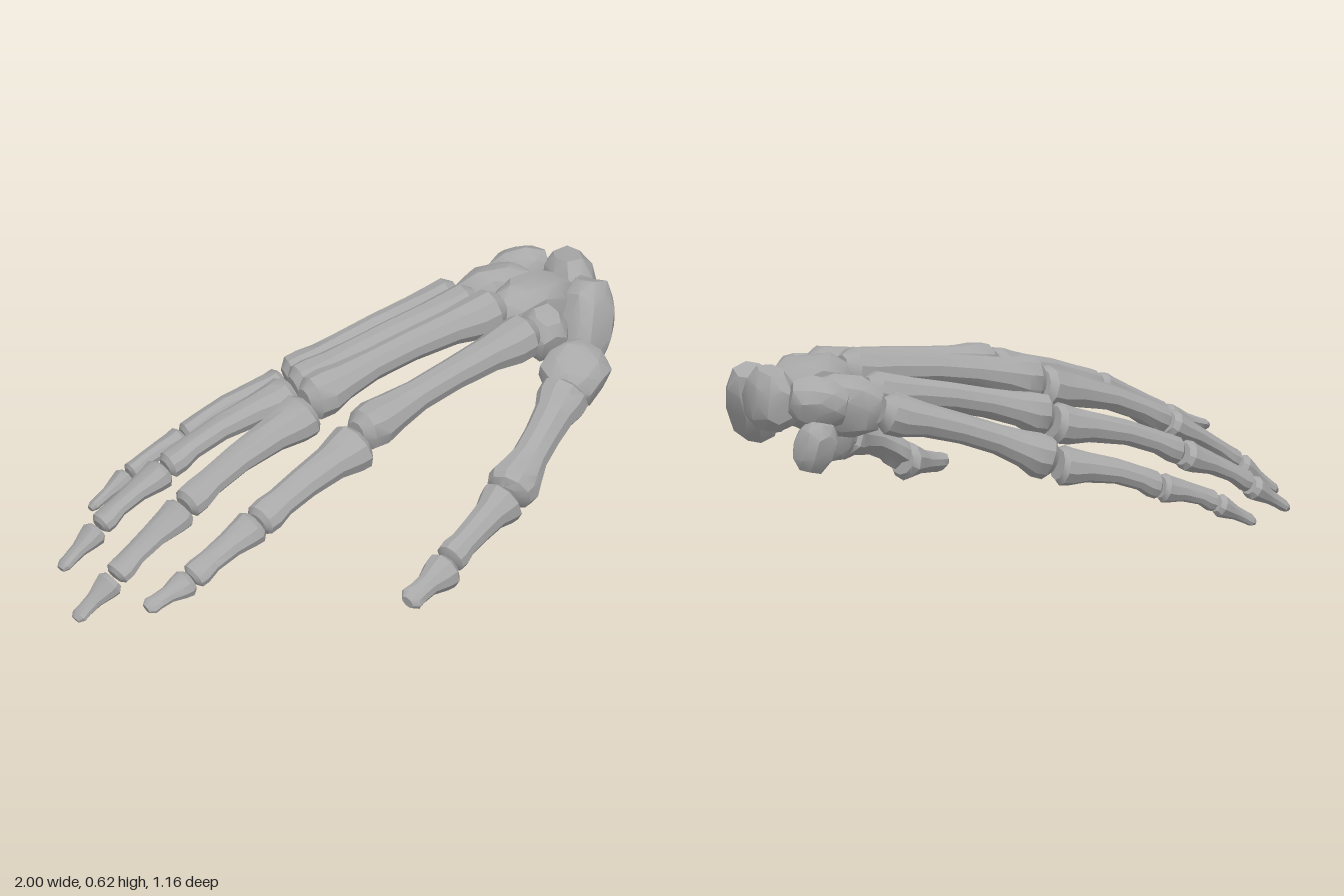
import * as THREE from 'three';
import { toCreasedNormals, mergeVertices } from 'three/addons/utils/BufferGeometryUtils.js';

const boneGrey = new THREE.MeshStandardMaterial({ color: 0xa8a8a8 });
boneGrey.name = 'boneGrey';
const SIDES = 10;
const CREASE = 0.55;

// Profile rows: position along the bone, half width, half height, dorsal lift, palmar groove.
const PROFILES = {
  metacarpal: [
    [-0.02, 0.042, 0.046, 0, 0], [0.03, 0.07, 0.073, 0, 0], [0.11, 0.07, 0.07, 0, 0.1],
    [0.24, 0.056, 0.056, 0.01, 0], [0.45, 0.05, 0.05, 0.016, -0.1], [0.65, 0.05, 0.05, 0.013, -0.1],
    [0.8, 0.064, 0.058, 0.005, 0], [0.89, 0.074, 0.074, -0.004, 0.25], [0.96, 0.064, 0.075, -0.006, 0.3],
    [1, 0.038, 0.048, -0.008, 0.2],
  ],
  proximal: [
    [0, 0.062, 0.056, 0, 0], [0.04, 0.083, 0.07, 0, 0.15], [0.12, 0.077, 0.066, 0, 0.2],
    [0.28, 0.06, 0.053, 0.01, 0.1], [0.55, 0.053, 0.043, 0.018, 0.15], [0.78, 0.05, 0.041, 0.01, 0.2],
    [0.89, 0.058, 0.047, 0, 0.3], [0.97, 0.055, 0.047, -0.004, 0.35], [1, 0.036, 0.028, -0.004, 0.2],
  ],
  middle: [
    [0, 0.046, 0.038, 0, 0], [0.06, 0.06, 0.052, 0, 0.1], [0.16, 0.056, 0.047, 0, 0.15],
    [0.4, 0.045, 0.036, 0.007, 0.1], [0.7, 0.041, 0.031, 0.007, 0.1], [0.87, 0.047, 0.036, 0, 0.3],
    [0.96, 0.045, 0.036, 0, 0.35], [1, 0.028, 0.022, 0, 0.2],
  ],
  distal: [
    [0, 0.036, 0.028, 0, 0], [0.1, 0.048, 0.04, 0, 0.1], [0.25, 0.043, 0.034, 0, 0.15],
    [0.5, 0.029, 0.024, 0, 0.1], [0.75, 0.028, 0.02, 0, 0.1], [0.9, 0.031, 0.018, 0, 0],
    [1, 0.018, 0.011, 0, 0],
  ],
};

function addMesh(parent, name, geometry) {
  const mesh = new THREE.Mesh(toCreasedNormals(geometry, CREASE), boneGrey);
  mesh.name = name;
  parent.add(mesh);
  return mesh;
}

// A long bone: grooved oval rings lofted from one joint to the next.
function longBone(parent, name, from, to, profile, width, height, roll) {
  const a = new THREE.Vector3(...from), b = new THREE.Vector3(...to);
  const d = b.clone().sub(a).normalize();
  const side = new THREE.Vector3(0, 1, 0).cross(d).normalize().applyAxisAngle(d, roll);
  const up = d.clone().cross(side);
  const last = profile.length - 1;
  const pos = [], index = [];
  const put = (v) => pos.push(v.x, v.y, v.z);
  const centre = ([t, , , lift]) => a.clone().lerp(b, t).addScaledVector(up, lift);
  for (const row of profile) {
    const [, w, h, , groove] = row;
    for (let j = 0; j < SIDES; j++) {
      const ang = (j / SIDES) * Math.PI * 2 - Math.PI / 2;
      const y = Math.sin(ang) * (j === 0 ? 1 - groove : 1);
      put(centre(row).addScaledVector(side, Math.cos(ang) * w * width).addScaledVector(up, y * h * height));
    }
  }
  put(centre(profile[0]));
  put(centre(profile[last]));
  const end = (last + 1) * SIDES;
  for (let j = 0; j < SIDES; j++) {
    const k = (j + 1) % SIDES;
    for (let i = 0; i < last; i++) {
      const p = i * SIDES, q = p + SIDES;
      index.push(p + j, p + k, q + k, p + j, q + k, q + j);
    }
    index.push(end, k, j, end + 1, last * SIDES + j, last * SIDES + k);
  }
  const g = new THREE.BufferGeometry();
  g.setAttribute('position', new THREE.Float32BufferAttribute(pos, 3));
  g.setIndex(index);
  addMesh(parent, name, g);
}

// A wrist bone: a faceted pebble, pushed towards a box and made slightly uneven.
function wristBone(parent, name, centre, half, rot, seed) {
  let g = new THREE.IcosahedronGeometry(1, 1);
  g.deleteAttribute('uv');
  g.deleteAttribute('normal');
  g = mergeVertices(g, 1e-3);
  const p = g.attributes.position, v = new THREE.Vector3();
  for (let i = 0; i < p.count; i++) {
    v.fromBufferAttribute(p, i);
    const norm = Math.pow(Math.abs(v.x) ** 3.5 + Math.abs(v.y) ** 3.5 + Math.abs(v.z) ** 3.5, 1 / 3.5);
    const n = Math.sin((i + 1) * 12.9898 + seed * 78.233) * 43758.5453;
    v.multiplyScalar((0.98 + 0.08 * (n - Math.floor(n))) / norm);
    p.setXYZ(i, v.x * half[0], v.y * half[1], v.z * half[2]);
  }
  const mesh = addMesh(parent, name, g);
  mesh.position.set(...centre);
  mesh.rotation.set(...rot);
}

// Each digit: bone kind, start, end, width scale, height scale.
const DIGITS = {
  thumb: { roll: -0.6, bones: [
    ['metacarpal', [0.67, 0.41, 0.165], [0.335, 0.25, 0.385], 1.15, 1],
    ['proximal', [0.325, 0.24, 0.385], [0.07, 0.15, 0.485], 0.9, 1.05],
    ['distal', [0.065, 0.125, 0.485], [-0.12, 0.093, 0.56], 1.3, 1.5]] },
  index: { roll: -0.35, bones: [
    ['metacarpal', [0.635, 0.535, -0.015], [-0.065, 0.468, 0.145], 1.03, 1.02],
    ['proximal', [-0.075, 0.45, 0.175], [-0.495, 0.35, 0.285], 1, 1],
    ['middle', [-0.5, 0.345, 0.285], [-0.745, 0.235, 0.31], 1, 0.95],
    ['distal', [-0.75, 0.23, 0.312], [-0.91, 0.18, 0.32], 1, 0.95]] },
  middleFinger: { roll: 0, bones: [
    ['metacarpal', [0.61, 0.555, -0.165], [-0.1, 0.46, -0.115], 1, 1],
    ['proximal', [-0.105, 0.435, -0.09], [-0.585, 0.282, -0.015], 1, 1],
    ['middle', [-0.59, 0.27, -0.012], [-0.85, 0.122, 0.018], 1.05, 0.95],
    ['distal', [-0.855, 0.112, 0.02], [-0.995, 0.015, 0.03], 1, 1.05]] },
  ringFinger: { roll: 0.25, bones: [
    ['metacarpal', [0.6, 0.51, -0.305], [-0.03, 0.385, -0.31], 0.95, 0.92],
    ['proximal', [-0.035, 0.363, -0.315], [-0.485, 0.237, -0.31], 0.9, 0.92],
    ['middle', [-0.49, 0.225, -0.308], [-0.735, 0.112, -0.282], 1, 0.95],
    ['distal', [-0.74, 0.1, -0.28], [-0.885, 0.015, -0.255], 0.95, 1]] },
  littleFinger: { roll: 0.5, bones: [
    ['metacarpal', [0.61, 0.465, -0.425], [0.06, 0.285, -0.51], 0.98, 0.92],
    ['proximal', [0.05, 0.267, -0.51], [-0.295, 0.178, -0.53], 0.85, 0.85],
    ['middle', [-0.3, 0.17, -0.525], [-0.495, 0.108, -0.515], 0.85, 0.85],
    ['distal', [-0.5, 0.1, -0.515], [-0.64, 0.03, -0.5], 0.85, 0.9]] },
};

// Wrist bones: centre, half size, rotation.
const WRIST = {
  trapezium: [[0.745, 0.415, 0.085], [0.095, 0.075, 0.095], [0.4, 0.55, 0.2]],
  trapezoid: [[0.7, 0.51, -0.03], [0.065, 0.08, 0.07], [0.3, 0, 0]],
  capitate: [[0.74, 0.525, -0.18], [0.135, 0.085, 0.08], [0, 0.1, -0.05]],
  hamate: [[0.71, 0.48, -0.345], [0.12, 0.09, 0.075], [-0.4, -0.4, 0]],
  hamateHook: [[0.7, 0.375, -0.285], [0.055, 0.075, 0.04], [-0.3, 0, 0]],
  scaphoid: [[0.885, 0.465, -0.085], [0.075, 0.135, 0.07], [-0.3, 0.3, -0.35]],
  lunate: [[0.925, 0.505, -0.265], [0.067, 0.093, 0.095], [-0.15, -0.1, 0]],
  triquetrum: [[0.825, 0.505, -0.395], [0.09, 0.072, 0.068], [-0.5, -0.45, 0]],
  pisiform: [[0.845, 0.375, -0.415], [0.06, 0.08, 0.055], [-0.2, 0.2, 0.2]],
};

export function createModel() {
  const hand = new THREE.Group();
  hand.name = 'handSkeleton';

  for (const [name, { roll, bones }] of Object.entries(DIGITS)) {
    const digit = new THREE.Group();
    digit.name = name;
    for (const [kind, from, to, w, h] of bones) {
      longBone(digit, `${name} ${kind} bone`, from, to, PROFILES[kind], w, h, roll);
    }
    hand.add(digit);
  }

  const wrist = new THREE.Group();
  wrist.name = 'wrist';
  Object.entries(WRIST).forEach(([name, [centre, half, rot]], i) => wristBone(wrist, name, centre, half, rot, i + 1));
  hand.add(wrist);
  return hand;
}
